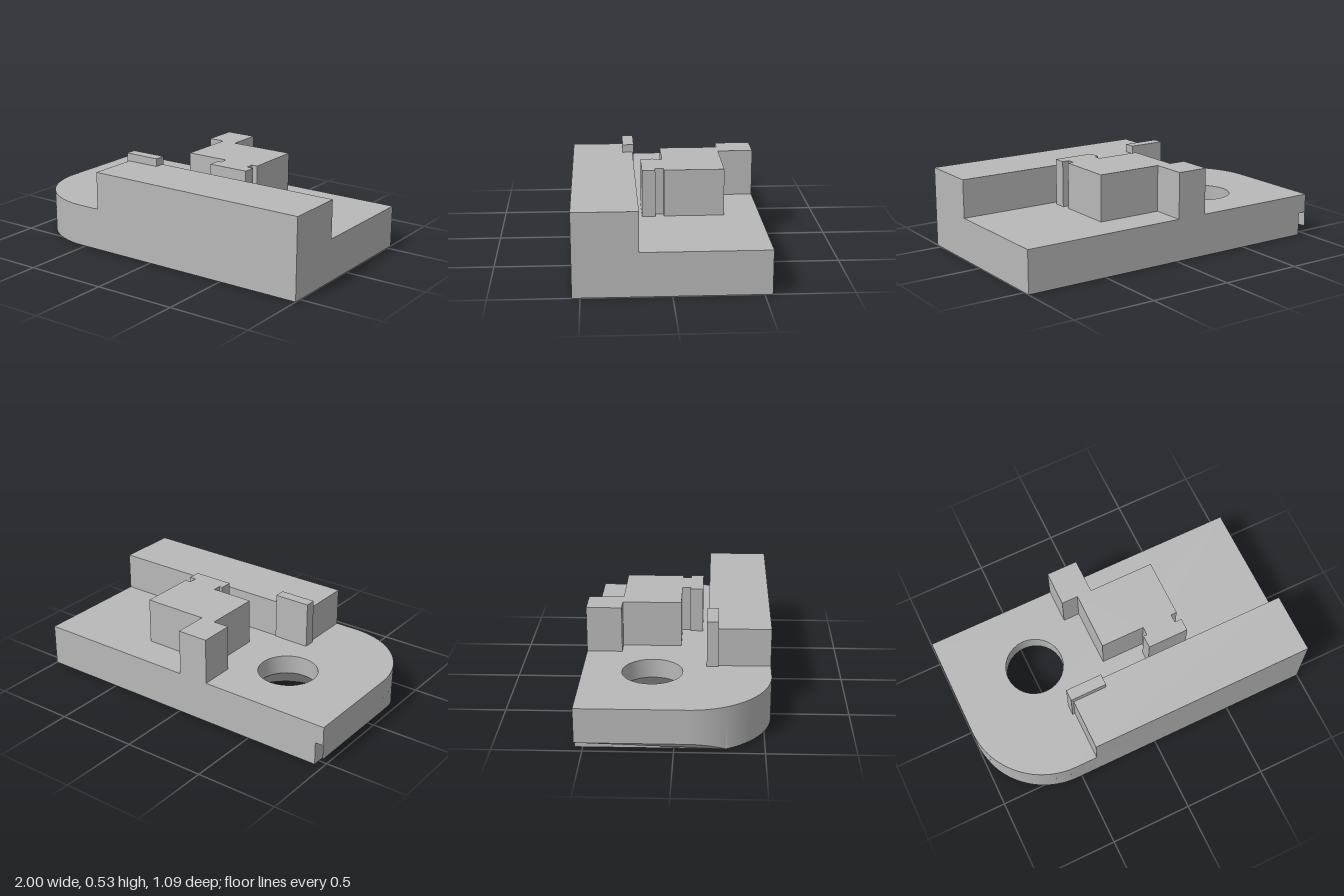
import * as THREE from 'three';
import { toCreasedNormals } from 'three/addons/utils/BufferGeometryUtils.js';

const HALF = 0.545;            // half depth of the plate
const R = 0.47;                // rounded front corner
const CX = -1 + R, CZ = HALF - R;
const HOLE = { x: -0.49, z: -0.14, r: 0.176, sink: 0.32 };
const SINK_TOP = 0.14, PLATE = 0.255, BAR = 0.485, TOP = 0.533;
const CHAMFER = 0.05;
const CUT = Math.PI - Math.acos((R - CHAMFER) / R);  // arc angle where the chamfer starts

// Extrude an outline drawn in (x, z) between two heights
function slab(shape, y0, y1) {
  const g = new THREE.ExtrudeGeometry(shape, { depth: y1 - y0, bevelEnabled: false, curveSegments: 16 });
  return g.rotateX(Math.PI / 2).translate(0, y1, 0);
}

// Plate outline from the square end to the given arc angle, with a round hole
function plateShape(endAngle, left, holeRadius) {
  const s = new THREE.Shape();
  s.moveTo(1, -HALF).lineTo(1, HALF).lineTo(CX, HALF);
  s.absarc(CX, CZ, R, Math.PI / 2, endAngle, false);
  s.lineTo(left, -HALF);
  s.holes.push(new THREE.Path().absarc(HOLE.x, HOLE.z, holeRadius, 0, Math.PI * 2, true));
  return s;
}

export function createModel() {
  const group = new THREE.Group();
  const grey = new THREE.MeshStandardMaterial({ color: 0xb8b8b8 });
  grey.name = 'grey';
  const add = (name, geometry) => {
    const mesh = new THREE.Mesh(geometry, grey);
    mesh.name = name;
    group.add(mesh);
  };
  const box = (name, x0, x1, y0, y1, z0, z1) => add(name,
    new THREE.BoxGeometry(x1 - x0, y1 - y0, z1 - z0).translate((x0 + x1) / 2, (y0 + y1) / 2, (z0 + z1) / 2));

  // Base plate: upper layer with the bore, lower layer with the countersink opening
  add('plateUpper', toCreasedNormals(slab(plateShape(Math.PI, -1, HOLE.r), SINK_TOP, PLATE), 0.5));
  add('plateLower', toCreasedNormals(slab(plateShape(CUT, -1 + CHAMFER, HOLE.sink), 0, SINK_TOP), 0.5));

  // End strip of the lower layer, its underside raised to form the chamfer
  const nose = new THREE.Shape();
  nose.moveTo(-1 + CHAMFER, -HALF);
  nose.absarc(CX, CZ, R, CUT, Math.PI, false);
  nose.lineTo(-1, -HALF);
  const noseGeo = slab(nose, 0, SINK_TOP);
  const p = noseGeo.attributes.position;
  for (let i = 0; i < p.count; i++) {
    if (p.getY(i) < 0.001) p.setY(i, Math.max(0, -1 + CHAMFER - p.getX(i)));
  }
  add('chamferedEnd', toCreasedNormals(noseGeo, 0.5));

  // Conical countersink
  const cone = [new THREE.Vector2(HOLE.r, SINK_TOP), new THREE.Vector2(HOLE.sink, 0)];
  add('countersink', new THREE.LatheGeometry(cone, 32).translate(HOLE.x, 0, HOLE.z));

  // Long front rail and the small key set into its end
  box('frontRail', -0.395, 1, PLATE, BAR, 0.18, HALF);
  box('railKey', -0.41, -0.185, PLATE, TOP, 0.172, 0.24);

  // Stepped centre block with a necked foot
  const outline = [
    [-0.2, -HALF], [-0.01, -HALF], [-0.01, -0.335], [0.39, -0.335], [0.39, 0.015], [0.353, 0.015],
    [0.353, 0.065], [0.396, 0.065], [0.396, 0.142], [0.145, 0.142], [0.145, 0.065], [0.167, 0.065],
    [0.167, 0.015], [-0.1, 0.015], [-0.1, -0.335], [-0.2, -0.335],
  ];
  add('centreBlock', slab(new THREE.Shape(outline.map(([x, z]) => new THREE.Vector2(x, z))), PLATE, TOP));

  return group;
}
